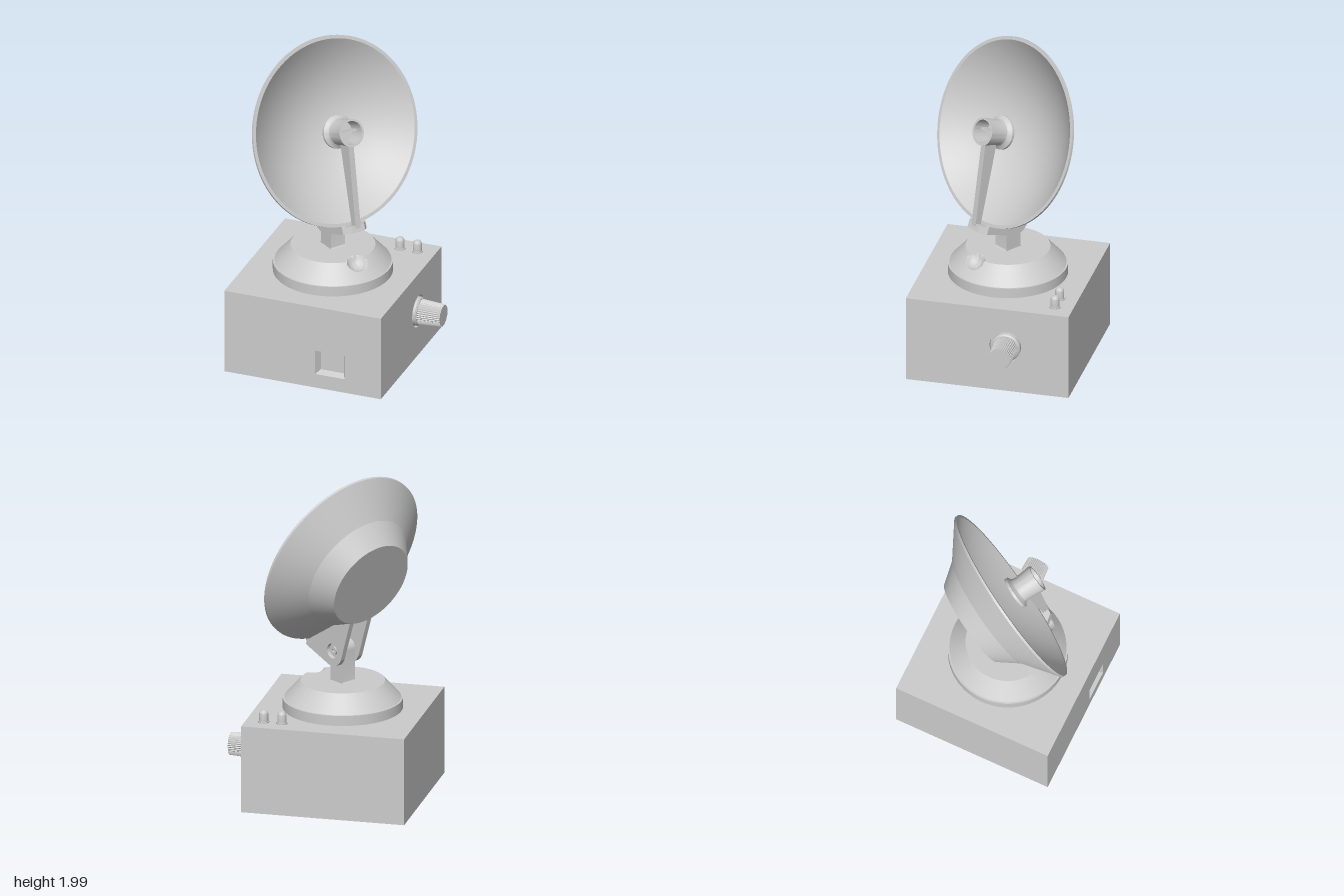
import * as THREE from 'three';
import { toCreasedNormals } from 'three/addons/utils/BufferGeometryUtils.js';

const grey = new THREE.MeshStandardMaterial({ color: 0xcccccc });
const faceted = new THREE.MeshStandardMaterial({ color: 0xcccccc, flatShading: true });
const open = new THREE.MeshStandardMaterial({ color: 0xcccccc, side: THREE.DoubleSide });
const V = (x, y) => new THREE.Vector2(x, y);

function add(parent, name, geometry, x = 0, y = 0, z = 0, material = grey) {
  const mesh = new THREE.Mesh(geometry, material);
  mesh.name = name;
  mesh.position.set(x, y, z);
  parent.add(mesh);
  return mesh;
}

function group(parent, name, x, y, z) {
  const g = new THREE.Group();
  g.name = name;
  g.position.set(x, y, z);
  parent.add(g);
  return g;
}

// Profile of [radius, height] pairs spun around y, with sharp edges kept
const lathe = (points, segments = 64, crease = 0.4) =>
  toCreasedNormals(new THREE.LatheGeometry(points.map(p => V(...p)), segments), crease);

const extrude = (shape, depth) =>
  toCreasedNormals(new THREE.ExtrudeGeometry(shape, { depth, bevelEnabled: false, curveSegments: 24 }), 0.4);

function rect(x0, y0, x1, y1, Type = THREE.Shape) {
  return new Type([V(x0, y0), V(x1, y0), V(x1, y1), V(x0, y1)]);
}

function buildBase(root) {
  const base = group(root, 'base', 0, 0, 0);
  add(base, 'bodyBlock', new THREE.BoxGeometry(0.97, 0.535, 0.95), -0.09, 0.2675, -0.02);

  // Front wall with a bevelled window
  const front = rect(-0.575, 0, 0.415, 0.535);
  front.holes.push(rect(0, 0.09, 0.185, 0.245, THREE.Path));
  add(base, 'frontWall', extrude(front, 0.04), 0, 0, 0.455);
  const bevel = new THREE.CylinderGeometry(Math.SQRT1_2, Math.SQRT1_2 * 0.79, 0.04, 4, 1, true);
  bevel.rotateY(Math.PI / 4).rotateX(Math.PI / 2).scale(0.185, 0.155, 1);
  add(base, 'windowBevel', toCreasedNormals(bevel, 0.4), 0.0925, 0.1675, 0.475, open);

  // Side wall with a round recess for the knob
  const side = rect(-0.455, 0, 0.495, 0.535);
  const recess = new THREE.Path();
  recess.absarc(0.115, 0.29, 0.1, 0, Math.PI * 2, true);
  side.holes.push(recess);
  add(base, 'sideWall', extrude(side, 0.02).rotateY(Math.PI / 2), 0.395, 0, 0);

  // Knob with ribs
  const knob = group(base, 'knob', 0.395, 0.29, -0.115);
  knob.rotation.z = -Math.PI / 2;
  add(knob, 'knobFlange', lathe([[0, 0], [0.087, 0], [0.087, 0.03], [0.078, 0.038], [0, 0.038]]));
  const ribs = 36;
  const grip = new THREE.CylinderGeometry(0.067, 0.076, 0.145, ribs * 2);
  const p = grip.attributes.position;
  for (let i = 0; i < p.count; i++) {
    const step = Math.round(Math.atan2(p.getX(i), p.getZ(i)) / (Math.PI / ribs));
    if (step % 2) p.setXYZ(i, p.getX(i) * 0.94, p.getY(i), p.getZ(i) * 0.94);
  }
  add(knob, 'knobGrip', grip, 0, 0.1075, 0, faceted);

  // Two indicator lamps
  for (const x of [0.195, 0.305]) {
    const dome = [[0.033, 0], [0.033, 0.008], [0.027, 0.008]];
    for (let i = 0; i <= 8; i++) {
      const a = i / 8 * Math.PI / 2;
      dome.push([0.027 * Math.cos(a), 0.05 + 0.027 * Math.sin(a)]);
    }
    add(base, 'indicatorLamp', lathe(dome, 24), x, 0.535, -0.385);
  }
}

function buildTurntable(turret) {
  // Truncated cone with a round scoop marking the forward side
  const points = [[0.355, 0.535], [0.355, 0.597], [0.345, 0.597]];
  for (let i = 1; i <= 16; i++) points.push([0.345 - 0.095 * i / 16, 0.597 + 0.105 * i / 16]);
  for (let i = 1; i <= 10; i++) points.push([0.25 - 0.012 * i, 0.702]);
  points.push([0, 0.702]);
  const g = new THREE.LatheGeometry(points.map(q => V(...q)), 192);
  const p = g.attributes.position;
  for (let i = 0; i < p.count; i++) {
    const d2 = p.getX(i) ** 2 + (p.getZ(i) - 0.27) ** 2;
    if (p.getY(i) > 0.6 && d2 < 0.0049) p.setY(i, Math.min(p.getY(i), 0.71 - Math.sqrt(0.0049 - d2)));
  }
  add(turret, 'turntable', toCreasedNormals(g, 0.35));

  // Upright with a rounded head around the tilt pivot
  const post = new THREE.Shape();
  post.moveTo(-0.068, 0.70);
  post.lineTo(0.068, 0.70);
  post.quadraticCurveTo(0.054, 0.702, 0.054, 0.716);
  post.lineTo(0.054, 0.9);
  post.absarc(0, 0.9, 0.054, 0, Math.PI, false);
  post.lineTo(-0.054, 0.716);
  post.quadraticCurveTo(-0.054, 0.702, -0.068, 0.70);
  add(turret, 'post', extrude(post, 0.1).rotateY(-Math.PI / 2), 0.05, 0, 0);
}

function buildDish(turret) {
  // Dish frame: z along the dish axis, origin at the rim centre
  const dish = group(turret, 'dish', 0, 1.46, 0.025);
  dish.rotation.x = -THREE.MathUtils.degToRad(20);

  // Two-cone back with a flat plate, parabolic inside
  const bowl = [[0, -0.295], [0.276, -0.295], [0.37, -0.17], [0.569, -0.014], [0.569, 0], [0.549, 0]];
  for (let i = 1; i <= 28; i++) {
    const t = 1 - i / 28;
    bowl.push([0.549 * t, -0.25 * (1 - t * t)]);
  }
  add(dish, 'bowl', lathe(bowl, 96, 0.2).rotateX(Math.PI / 2));

  // Flanged open horn
  const horn = [[0, 0.02], [0.102, 0.02], [0.102, 0.036], [0.088, 0.045], [0.079, 0.056], [0.075, 0.075],
    [0.084, 0.185], [0.071, 0.185], [0.065, 0.08], [0, 0.08]];
  add(dish, 'horn', lathe(horn).rotateX(Math.PI / 2));
  add(dish, 'hornBlade', new THREE.BoxGeometry(0.13, 0.012, 0.06), 0, 0, 0.105);

  // Arm holding the horn
  const arm = new THREE.Shape([V(0.005, -0.59), V(0.045, -0.59), V(0.15, -0.073), V(0.06, -0.067)]);
  add(dish, 'hornArm', extrude(arm, 0.036).rotateY(-Math.PI / 2), 0.018, 0, 0);

  // Tapered foot under the rim
  const foot = new THREE.Shape([V(-0.084, 0.13), V(-0.084, 0.005), V(-0.045, -0.045),
    V(0.045, -0.045), V(0.084, 0.005), V(0.084, 0.13)]);
  add(dish, 'armFoot', extrude(foot, 0.043).rotateX(-Math.PI / 2), 0, -0.613, 0);

  // Pair of ears with pivot holes and bolts
  const ear = new THREE.Shape();
  ear.moveTo(0, -0.613);
  ear.lineTo(0, -0.568);
  ear.lineTo(-0.02, -0.55);
  ear.lineTo(-0.17, -0.358);
  ear.lineTo(-0.293, -0.25);
  ear.lineTo(-0.302, -0.52);
  ear.absarc(-0.212, -0.523, 0.09, Math.PI, Math.PI * 1.5, false);
  const hole = new THREE.Path();
  hole.absarc(-0.215, -0.518, 0.045, 0, Math.PI * 2, true);
  ear.holes.push(hole);
  for (const s of [-1, 1]) {
    add(dish, 'ear', extrude(ear, 0.03).rotateY(-Math.PI / 2), s > 0 ? 0.084 : -0.054, 0, 0);
    const bolt = lathe([[0.046, 0], [0.046, 0.008], [0.024, 0.008], [0.024, 0.022], [0.012, 0.022], [0.012, 0.01], [0, 0.01]], 32);
    add(dish, 'pivotBolt', bolt.rotateZ(-s * Math.PI / 2), s * 0.052, -0.518, -0.215);
  }
}

export function createModel() {
  const root = new THREE.Group();
  root.name = 'dishStation';
  buildBase(root);
  const turret = group(root, 'turret', -0.08, 0, 0);
  turret.rotation.y = THREE.MathUtils.degToRad(55);
  buildTurntable(turret);
  buildDish(turret);
  return root;
}
